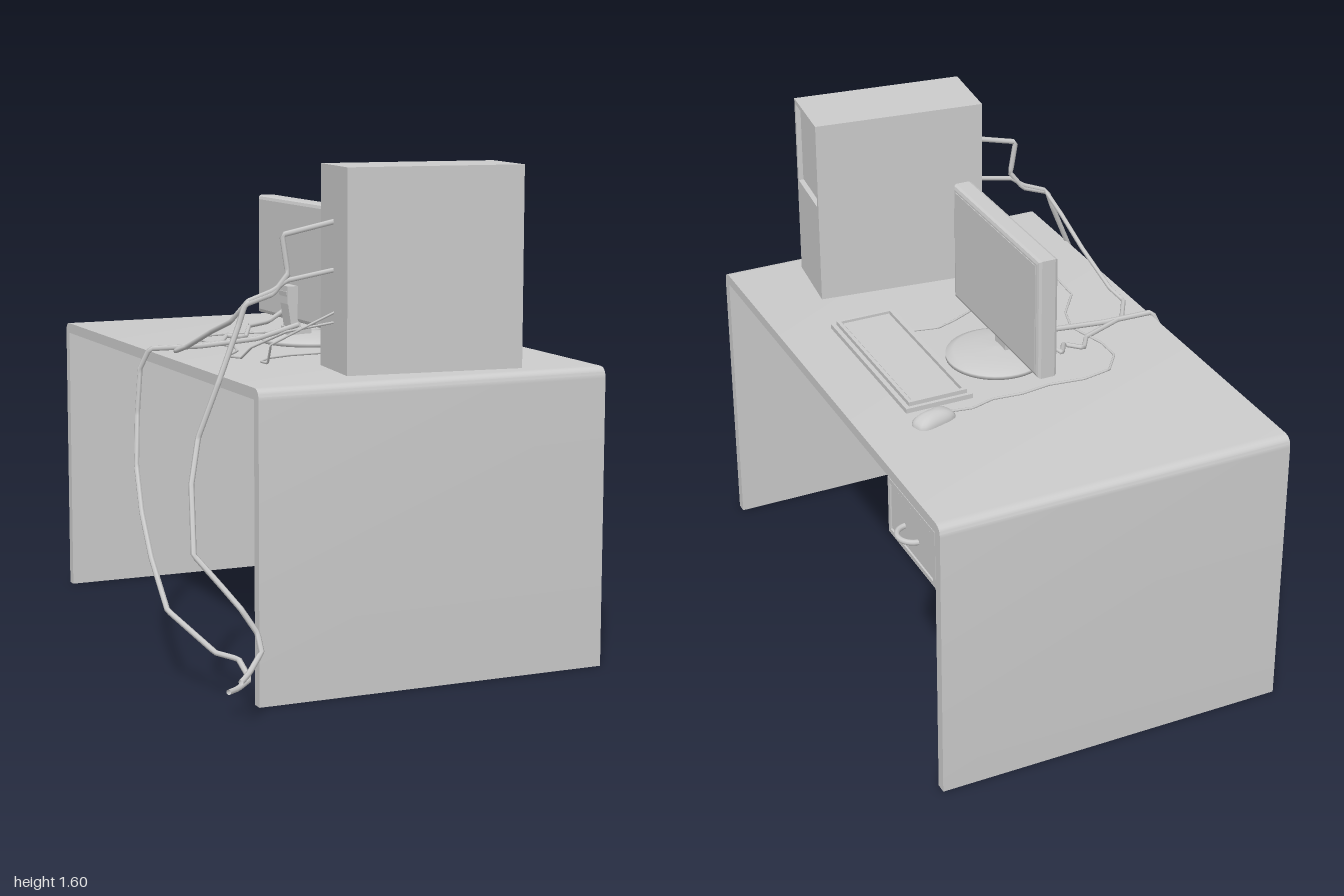
import * as THREE from 'three';
import { toCreasedNormals } from 'three/addons/utils/BufferGeometryUtils.js';

const grey = new THREE.MeshStandardMaterial({ color: 0xcccccc, side: THREE.DoubleSide });

function add(parent, name, geometry, x = 0, y = 0, z = 0) {
  const mesh = new THREE.Mesh(geometry, grey);
  mesh.name = name;
  mesh.position.set(x, y, z);
  parent.add(mesh);
  return mesh;
}

function group(parent, name, x = 0, y = 0, z = 0) {
  const g = new THREE.Group();
  g.name = name;
  g.position.set(x, y, z);
  parent.add(g);
  return g;
}

const box = (w, h, d) => new THREE.BoxGeometry(w, h, d);

// Extrudes a shape drawn in (-z, y) along +x
function extrudeX(shape, depth) {
  const g = new THREE.ExtrudeGeometry(shape, { depth, bevelEnabled: false, curveSegments: 6 });
  return toCreasedNormals(g.rotateY(Math.PI / 2), 0.5);
}

function rect(path, w, h, cy = 0) {
  path.moveTo(-w / 2, cy - h / 2);
  path.lineTo(w / 2, cy - h / 2);
  path.lineTo(w / 2, cy + h / 2);
  path.lineTo(-w / 2, cy + h / 2);
  path.closePath();
  return path;
}

// Rectangular frame facing +x
function frame(w, h, holeW, holeH, depth, holeY = 0) {
  const s = rect(new THREE.Shape(), w, h);
  s.holes.push(rect(new THREE.Path(), holeW, holeH, holeY));
  return extrudeX(s, depth);
}

// Angular cable through a list of points
function cable(parent, name, radius, points) {
  const pts = points.map(p => new THREE.Vector3(...p));
  const curve = new THREE.CatmullRomCurve3(pts, false, 'catmullrom', 0);
  add(parent, name, new THREE.TubeGeometry(curve, points.length * 7, radius, 6));
}

function buildDesk(root) {
  const desk = group(root, 'desk');
  // One bent slab: two side panels and the top
  const s = new THREE.Shape();
  const a = -0.81, b = 1.0, h = 0.965, t = 0.035, r = 0.035;
  s.moveTo(a, 0);
  s.lineTo(a + t, 0);
  s.lineTo(a + t, h - t);
  s.lineTo(b - t, h - t);
  s.lineTo(b - t, 0);
  s.lineTo(b, 0);
  s.lineTo(b, h - r);
  s.quadraticCurveTo(b, h, b - r, h);
  s.lineTo(a + r, h);
  s.quadraticCurveTo(a, h, a, h - r);
  s.closePath();
  add(desk, 'deskSlab', extrudeX(s, 1.18), -0.525, 0, 0);

  // Drawer with a rimmed front and a looped handle
  const drawer = group(desk, 'drawer', 0, 0.83, -0.79);
  add(drawer, 'drawerBox', box(0.5, 0.195, 0.345), 0.39);
  add(drawer, 'drawerRim', frame(0.345, 0.195, 0.315, 0.165, 0.015), 0.64);
  add(drawer, 'drawerFront', box(0.02, 0.155, 0.305), 0.642);
  const handle = add(drawer, 'drawerHandle', new THREE.TorusGeometry(0.05, 0.009, 8, 16, Math.PI), 0.645, -0.012, 0.005);
  handle.rotation.set(Math.PI / 2, 0, -Math.PI / 2);
}

function buildTower(root) {
  const tower = group(root, 'computerTower', 0.129, 1.2825, 0.5675);
  tower.rotation.y = -0.104;
  add(tower, 'towerCase', box(0.553, 0.635, 0.258), -0.0125);
  add(tower, 'towerFront', frame(0.258, 0.635, 0.23, 0.28, 0.025, 0.162), 0.264);
  add(tower, 'towerDriveCover', box(0.01, 0.27, 0.22), 0.269, 0.162);
}

function buildMonitor(root) {
  const monitor = group(root, 'monitor', 0, 0, -0.14);
  // Cabinet with a bevelled rim
  const s = rect(new THREE.Shape(), 0.602, 0.382);
  const cabinet = new THREE.ExtrudeGeometry(s, {
    depth: 0.046, bevelThickness: 0.012, bevelSize: 0.014, bevelSegments: 2,
  }).rotateY(Math.PI / 2);
  add(monitor, 'monitorCabinet', toCreasedNormals(cabinet, 0.3), 0.013, 1.24);
  add(monitor, 'monitorScreen', box(0.006, 0.37, 0.59), 0.07, 1.24);
  // Domed foot
  const profile = [[0, 0.965], [0.165, 0.965], [0.165, 0.978], [0.14, 0.988], [0.08, 0.996], [0, 1]]
    .map(p => new THREE.Vector2(...p));
  add(monitor, 'monitorFoot', new THREE.LatheGeometry(profile, 40), 0.065);
  // Neck leaning towards the back of the cabinet
  const neck = add(monitor, 'monitorNeck', box(0.035, 0.17, 0.065), -0.01, 1.06);
  neck.rotation.z = 0.15;
  add(monitor, 'monitorHinge', box(0.045, 0.06, 0.075), -0.015, 1.13);
  add(monitor, 'monitorNeckBase', box(0.08, 0.04, 0.075), 0.01, 1.0);
}

function buildInputs(root) {
  const keyboard = group(root, 'keyboard', 0.365, 0.965, -0.048);
  add(keyboard, 'keyboardBase', box(0.23, 0.016, 0.625), 0, 0.008);
  const rim = add(keyboard, 'keyboardRim', frame(0.6, 0.2, 0.575, 0.175, 0.018), 0, 0.012);
  rim.rotation.z = Math.PI / 2;
  add(keyboard, 'keyboardKeys', box(0.165, 0.012, 0.565), 0, 0.018);

  const shell = new THREE.SphereGeometry(1, 24, 10, 0, Math.PI * 2, 0, Math.PI / 2);
  // Square off the plan of the dome
  const p = shell.attributes.position;
  for (let i = 0; i < p.count; i++) {
    const x = p.getX(i), z = p.getZ(i);
    const k = 1 / Math.pow(x ** 4 + z ** 4 + 1e-9, 0.25) * Math.hypot(x, z);
    p.setXYZ(i, x * k, p.getY(i), z * k);
  }
  shell.scale(0.073, 0.036, 0.038);
  shell.computeVertexNormals();
  const mouse = add(root, 'mouse', shell, 0.42, 0.965, -0.435);
  mouse.rotation.y = 0.3;
}

function buildCables(root) {
  const cables = group(root, 'cables');
  cable(cables, 'towerPowerCable', 0.009, [
    [-0.14, 1.43, 0.53], [-0.32, 1.39, 0.51], [-0.305, 1.27, 0.52], [-0.35, 1.21, 0.51],
    [-0.44, 1.18, 0.5], [-0.46, 1.12, 0.5], [-0.535, 0.95, 0.52], [-0.6, 0.78, 0.51],
    [-0.65, 0.65, 0.58], [-0.69, 0.46, 0.7], [-0.63, 0.37, 0.79], [-0.6, 0.32, 0.85],
    [-0.56, 0.25, 0.88], [-0.56, 0.2, 0.91], [-0.62, 0.155, 0.96], [-0.66, 0.14, 0.995],
  ]);
  cable(cables, 'monitorPowerCable', 0.009, [
    [0, 1.03, -0.1], [-0.15, 0.99, -0.1], [-0.35, 0.975, -0.105], [-0.53, 0.975, -0.11],
    [-0.555, 0.91, -0.13], [-0.57, 0.76, -0.12], [-0.6, 0.6, -0.05], [-0.63, 0.47, 0.08],
    [-0.65, 0.35, 0.22], [-0.69, 0.24, 0.47], [-0.61, 0.145, 0.67], [-0.56, 0.135, 0.73],
    [-0.56, 0.095, 0.82], [-0.62, 0.085, 0.87], [-0.66, 0.087, 0.9],
  ]);
  cable(cables, 'videoCable', 0.008, [
    [-0.14, 1.28, 0.53], [-0.31, 1.25, 0.52], [-0.35, 1.22, 0.51], [-0.43, 1.19, 0.5],
    [-0.46, 1.12, 0.43], [-0.45, 1.07, 0.25], [-0.46, 1.0, 0.06], [-0.48, 0.978, 0],
    [-0.42, 0.975, -0.1], [-0.25, 0.975, -0.17], [-0.2, 0.985, -0.25], [-0.15, 0.985, -0.2],
    [-0.1, 1.01, -0.29], [-0.06, 1.03, -0.22], [0.01, 1.08, -0.2],
  ]);
  cable(cables, 'keyboardCable', 0.004, [
    [0.26, 0.973, 0.12], [0.16, 0.97, 0.105], [0.09, 0.97, 0.13], [0, 0.97, 0.175],
    [-0.15, 0.97, 0.185], [-0.24, 0.97, 0.22], [-0.3, 0.97, 0.29], [-0.31, 0.975, 0.37],
    [-0.32, 1.04, 0.42], [-0.24, 1.1, 0.5], [-0.15, 1.15, 0.54],
  ]);
  cable(cables, 'mouseCable', 0.004, [
    [0.36, 0.975, -0.42], [0.28, 0.97, -0.425], [0.2, 0.97, -0.4], [0.1, 0.97, -0.41],
    [0, 0.97, -0.395], [-0.12, 0.97, -0.41], [-0.22, 0.97, -0.39], [-0.28, 0.97, -0.31],
    [-0.28, 0.97, -0.22], [-0.24, 0.97, -0.08], [-0.27, 0.97, 0.02], [-0.35, 0.97, 0.13],
    [-0.35, 0.98, 0.25], [-0.34, 1.02, 0.31], [-0.27, 1.08, 0.43], [-0.14, 1.12, 0.55],
  ]);
}

export function createModel() {
  const root = new THREE.Group();
  root.name = 'computerDesk';
  buildDesk(root);
  buildTower(root);
  buildMonitor(root);
  buildInputs(root);
  buildCables(root);
  return root;
}
